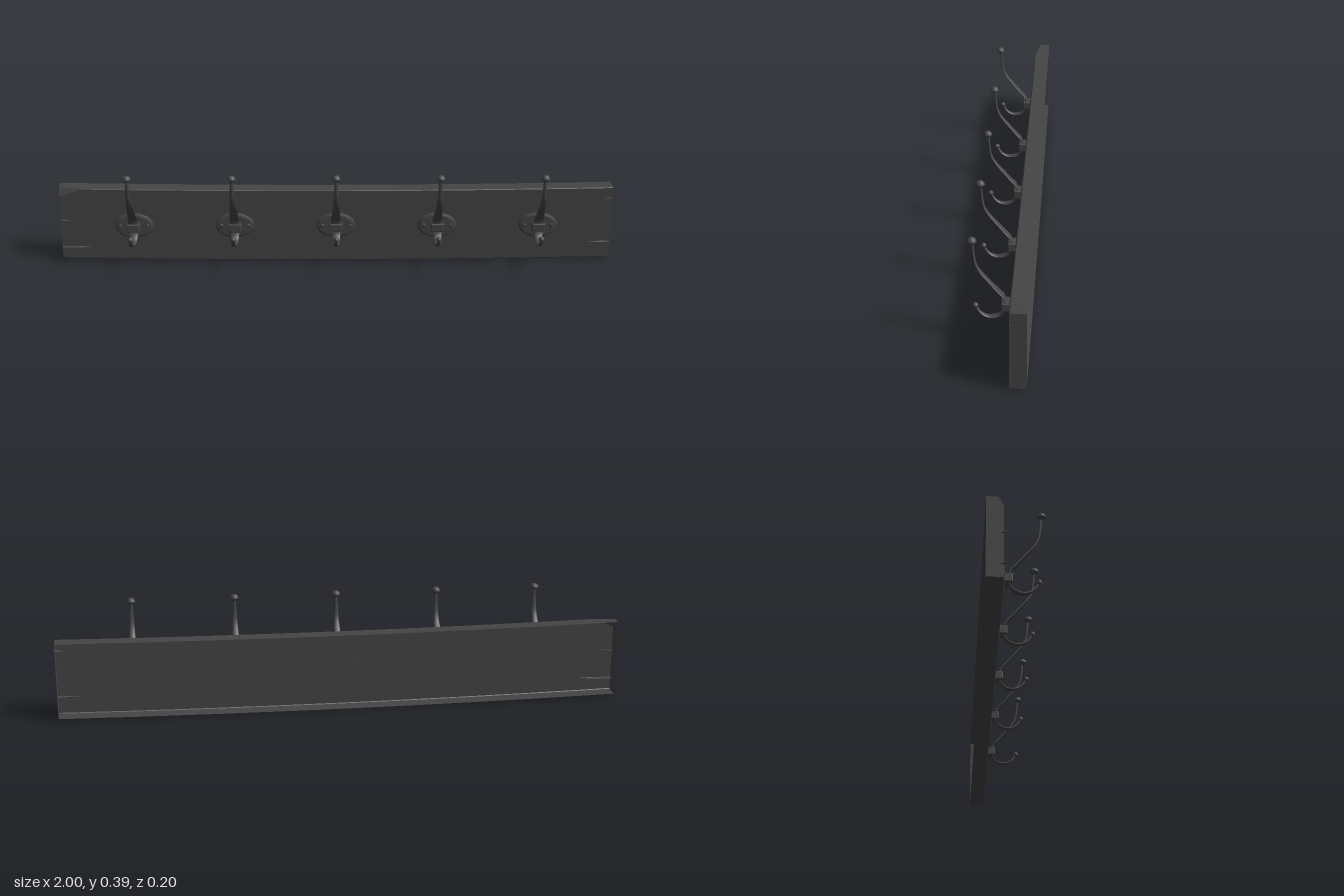
import * as THREE from 'three';
import { RoundedBoxGeometry } from 'three/addons/geometries/RoundedBoxGeometry.js';

const dark = new THREE.MeshStandardMaterial({ color: 0x454545 });
const darkShell = new THREE.MeshStandardMaterial({ color: 0x454545, side: THREE.DoubleSide, flatShading: true });
const BACK = -0.1, FRONT = -0.045, MID = 0.141;

function part(name, geometry, x = 0, y = 0, z = 0, material = dark) {
  const m = new THREE.Mesh(geometry, material);
  m.name = name;
  m.position.set(x, y, z);
  return m;
}

// Cracks in the plank ends: height, end (-1 left edge of the front, 1 right edge), length, depth
const cracks = [[0.055, -1, 0.12, 0.014], [0.072, 1, 0.08, 0.01], [0.16, -1, 0.045, 0.012], [0.244, 1, 0.03, 0.014]];

// Cross-section of the worn plank at x, from bottom back round the front to top back, as [y, z]
function section(x) {
  const bottom = 0.01 * x * x, top = 0.275 + 0.01 * x * x;
  const chip = Math.max(0, (-x - 0.92) / 0.08);
  const cy = 0.0025 + 0.03 * chip, cz = 0.0025 + 0.015 * chip;
  const pts = [[bottom, BACK], [bottom, FRONT - 0.0025], [bottom + 0.0025, FRONT]];
  for (const [y, side, length, depth] of cracks) {
    const d = depth * Math.max(0, 1 - (1 - x * side) / length);
    pts.push([y - 0.003, FRONT], [y, FRONT - d], [y + 0.003, FRONT]);
  }
  pts.push([top - cy, FRONT], [top, FRONT - cz], [top, BACK]);
  return pts;
}

// Open-backed plank: sections joined along x, closed at both ends
function boardGeometry() {
  const xs = [-1, -0.955, -0.92, -0.88, -0.7, -0.45, -0.2, 0, 0.2, 0.45, 0.7, 0.92, 0.97, 1];
  const pos = [];
  const quad = (a, b, c, d) => pos.push(...a, ...b, ...c, ...a, ...c, ...d);
  const rows = xs.map(x => section(x).map(([y, z]) => [x, y, z]));
  for (let r = 0; r < rows.length - 1; r++)
    for (let i = 0; i < rows[r].length - 1; i++)
      quad(rows[r][i], rows[r + 1][i], rows[r + 1][i + 1], rows[r][i + 1]);
  const back = p => [p[0], p[1], BACK];
  const first = rows[0], last = rows[rows.length - 1];
  for (let i = 0; i < first.length - 1; i++) {
    quad(back(first[i]), first[i], first[i + 1], back(first[i + 1]));
    quad(last[i], back(last[i]), back(last[i + 1]), last[i + 1]);
  }
  const g = new THREE.BufferGeometry();
  g.setAttribute('position', new THREE.Float32BufferAttribute(pos, 3));
  g.computeVertexNormals();
  return g;
}

// Flat strap bent along a path of [z, y], tapering in width from w0 to w1
function strap(path, w0, w1) {
  const curve = new THREE.CatmullRomCurve3(path.map(([z, y]) => new THREE.Vector3(0, y, z)));
  const n = 28, sides = 10, r = 0.0042;
  const g = new THREE.TubeGeometry(curve, n, r, sides);
  const p = g.attributes.position;
  for (let i = 0; i < p.count; i++) {
    const t = Math.floor(i / (sides + 1)) / n;
    p.setX(i, p.getX(i) * THREE.MathUtils.lerp(w0, w1, Math.pow(t, 0.8)) / r);
  }
  g.computeVertexNormals();
  return g;
}

// Solid of revolution about y from [radius, height] points
const lathe = (pts, sides) => new THREE.LatheGeometry(pts.map(([x, y]) => new THREE.Vector2(x, y)), sides);

function makeHook() {
  const hook = new THREE.Group();
  hook.name = 'hook';

  // Oval mounting plate with a softened rim, let slightly into the board
  const plate = lathe([[1, -0.0008], [1, 0.006], [0.94, 0.0095], [0.8, 0.0105], [0, 0.0105]], 32);
  plate.rotateX(Math.PI / 2);
  plate.scale(0.07, 0.047, 1);
  hook.add(part('mountingPlate', plate, 0, MID, FRONT));

  // Screw heads on either side
  for (const s of [-1, 1]) {
    const screw = part('screwHead', new THREE.SphereGeometry(0.008, 12, 8), s * 0.049, MID, -0.035);
    screw.scale.z = 0.4;
    hook.add(screw);
  }

  // Block carrying both arms
  hook.add(part('bracket', new RoundedBoxGeometry(0.046, 0.03, 0.03, 2, 0.003), 0, 0.142, -0.022));

  // Long upper arm and its mushroom knob
  hook.add(part('upperArm', strap([[-0.018, 0.14], [-0.015, 0.17], [0.005, 0.194], [0.034, 0.229], [0.062, 0.264],
    [0.075, 0.29], [0.081, 0.325], [0.084, 0.366]], 0.021, 0.005)));
  const knob = lathe([[0, -0.012], [0.005, -0.011], [0.013, -0.004], [0.0155, -0.002], [0.0155, 0.001],
    [0.0135, 0.007], [0.009, 0.0115], [0.004, 0.0135], [0, 0.014]], 16);
  hook.add(part('upperKnob', knob, 0, 0.373, 0.086));

  // Curled lower arm and its ball
  hook.add(part('lowerArm', strap([[-0.018, 0.145], [-0.015, 0.122], [0, 0.103], [0.028, 0.095], [0.05, 0.101],
    [0.064, 0.113], [0.075, 0.131]], 0.021, 0.005)));
  hook.add(part('lowerBall', new THREE.SphereGeometry(0.0098, 16, 10), 0, 0.1355, 0.077));
  return hook;
}

export function createModel() {
  const model = new THREE.Group();
  model.name = 'coatRack';
  model.add(part('board', boardGeometry(), 0, 0, 0, darkShell));
  for (let i = -2; i <= 2; i++) {
    const hook = makeHook();
    hook.position.x = i * 0.367;
    model.add(hook);
  }
  return model;
}
